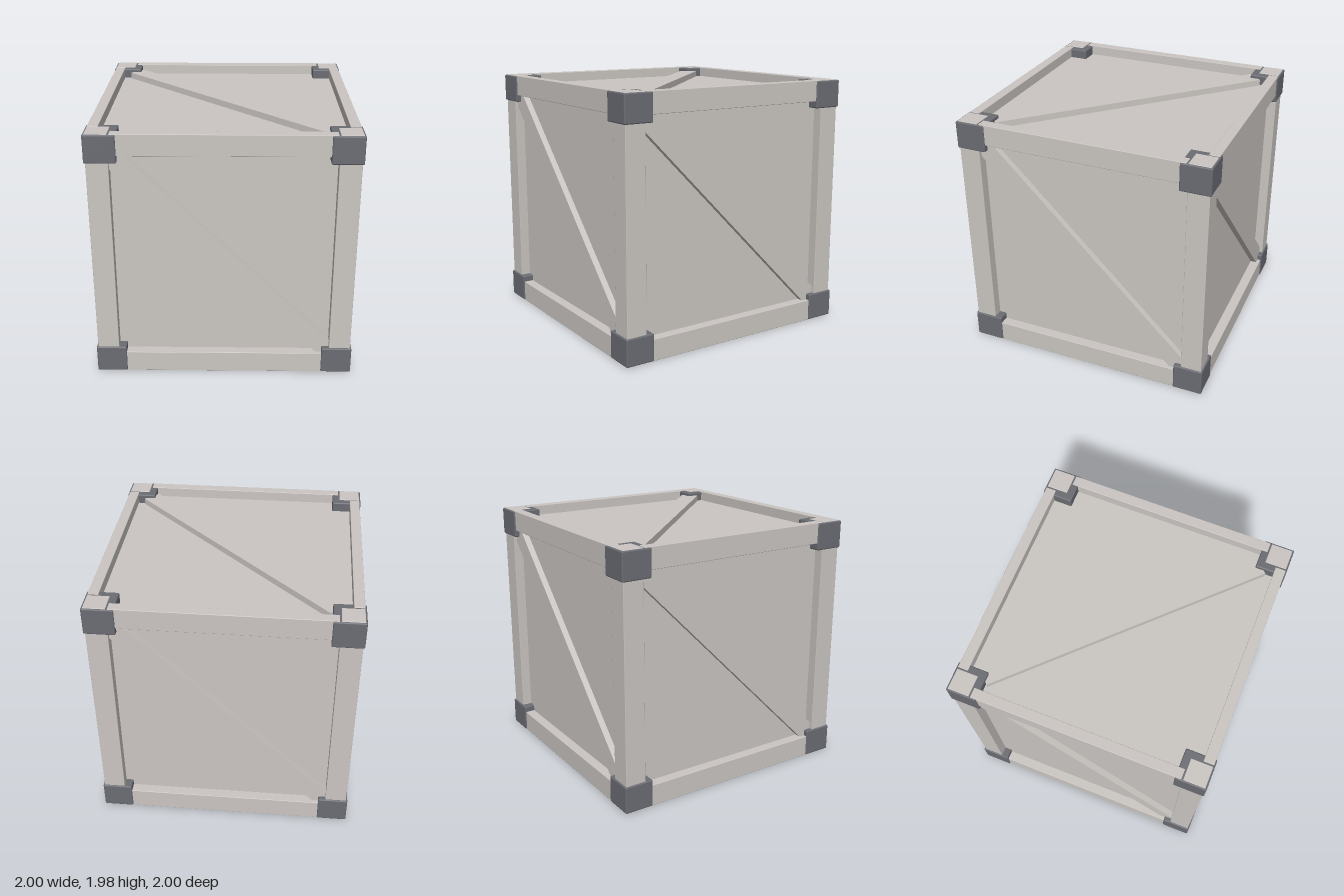
import * as THREE from 'three';
import { RoundedBoxGeometry } from 'three/addons/geometries/RoundedBoxGeometry.js';

const H = 1.98, MID = H / 2;

export function createModel() {
  const crate = new THREE.Group();
  crate.name = 'crate';

  const shell = new THREE.MeshStandardMaterial({ color: 0xcbc6c2 });
  shell.name = 'pale grey';
  const guard = new THREE.MeshStandardMaterial({ color: 0x6b6d73 });
  guard.name = 'dark grey';

  function block(parent, name, material, size, position, bevel = 0) {
    const geometry = bevel
      ? new RoundedBoxGeometry(...size, 2, bevel)
      : new THREE.BoxGeometry(...size);
    const mesh = new THREE.Mesh(geometry, material);
    mesh.name = name;
    mesh.position.set(...position);
    parent.add(mesh);
    return mesh;
  }

  // Recessed panels, as one inner box
  block(crate, 'panels', shell, [1.82, 1.82, 1.82], [0, MID, 0]);

  // Four identical sides, turned about the upright axis
  for (let i = 0; i < 4; i++) {
    const side = new THREE.Group();
    side.name = 'side' + (i + 1);
    side.rotation.y = i * Math.PI / 2;
    crate.add(side);

    block(side, 'cornerPost', shell, [0.165, H, 0.165], [-0.9045, MID, 0.9045], 0.004);
    block(side, 'topRail', shell, [1.62, 0.164, 0.08], [0, H - 0.082, 0.949], 0.004);
    block(side, 'bottomRail', shell, [1.62, 0.17, 0.08], [0, 0.085, 0.949], 0.004);

    // Diagonal brace from upper left to lower right
    const brace = block(side, 'sideBrace', shell, [2.26, 0.148, 0.06], [0, MID, 0.93]);
    brace.rotation.z = -Math.PI / 4;

    // Corner guards wrap the post ends
    for (const [name, y] of [['topCornerGuard', H - 0.1115], ['bottomCornerGuard', 0.1115]]) {
      block(side, name, guard, [0.235, 0.215, 0.235], [-0.8815, y, 0.8815], 0.01);
    }
  }

  // Diagonal brace across the lid
  const lidBrace = block(crate, 'lidBrace', shell, [2.26, 0.06, 0.148], [0, MID + 0.93, 0]);
  lidBrace.rotation.y = -Math.PI / 4;

  return crate;
}
